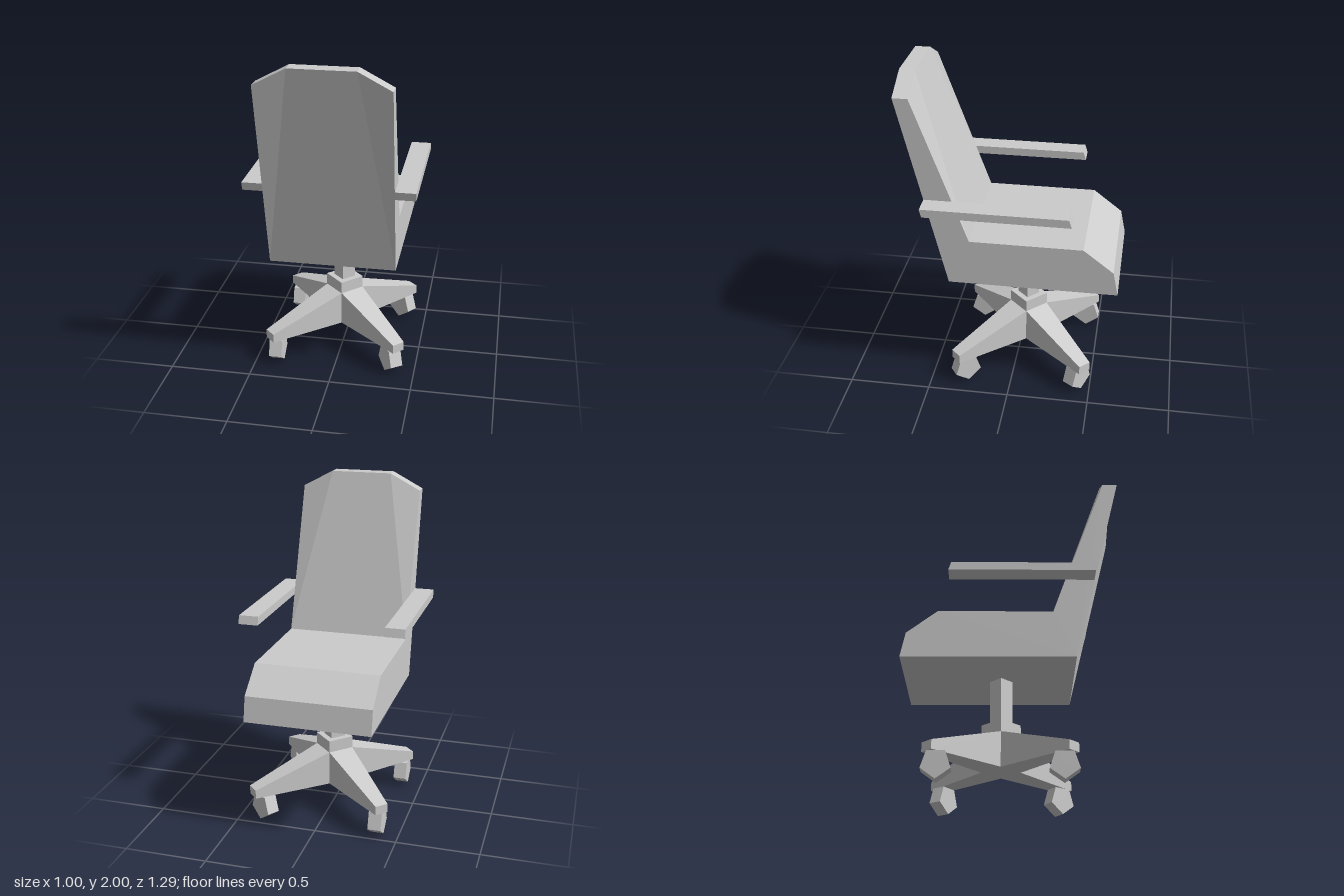
import * as THREE from 'three';
import { ConvexGeometry } from 'three/addons/geometries/ConvexGeometry.js';

const material = new THREE.MeshStandardMaterial({ color: 0xcccccc, flatShading: true });
const BASE_Z = -0.065; // swivel axis

function add(parent, name, geometry, x = 0, y = 0, z = 0) {
  const mesh = new THREE.Mesh(geometry, material);
  mesh.name = name;
  mesh.position.set(x, y, z);
  parent.add(mesh);
  return mesh;
}

// One-piece seat and backrest: side outline as [half width, y, z], mirrored in x
function seatGeometry() {
  const outline = [
    [0.38, 0.73, 0.37], [0.38, 1.9, 0.65], [0.19, 2, 0.65], [0.19, 2, 0.56], [0.38, 1.9, 0.56],
    [0.38, 1.02, 0.24], [0.38, 1.02, -0.435], [0.38, 0.88, -0.615], [0.38, 0.73, -0.645],
  ];
  const n = outline.length;
  const positions = [...outline, ...outline.map(([x, y, z]) => [-x, y, z])].flat();
  const index = [];
  // Faces on the left side, mirrored to the right: flank, then clipped top corner
  const sideFaces = [
    [0, 4, 1], [0, 5, 4], [0, 6, 5], [0, 7, 6], [0, 8, 7],
    [0, 1, 2], [4, 5, 3], [1, 4, 3], [1, 3, 2],
  ];
  for (const [a, b, c] of sideFaces) index.push(a, b, c, a + n, c + n, b + n);
  // Panels that run across from side to side
  const strips = [[0, 2], [2, 3], [3, 5], [5, 6], [6, 7], [7, 8], [8, 0]];
  for (const [a, b] of strips) index.push(a, b, b + n, a, b + n, a + n);

  const geometry = new THREE.BufferGeometry();
  geometry.setAttribute('position', new THREE.Float32BufferAttribute(positions, 3));
  geometry.setIndex(index);
  const flat = geometry.toNonIndexed();
  flat.computeVertexNormals();
  return flat;
}

// Armrest bar with slanted ends
function armrestGeometry() {
  const points = [];
  for (const x of [-0.06, 0.06]) {
    for (const [y, z] of [[1.23, 0.488], [1.28, 0.5], [1.28, -0.357], [1.23, -0.373]]) {
      points.push(new THREE.Vector3(x, y, z));
    }
  }
  return new ConvexGeometry(points);
}

// Tapered foot running out along the +x +z diagonal
function footGeometry() {
  const points = [];
  for (const [near, far, low, high] of [[0.115, 0, 0.16, 0.375], [0.433, 0.375, 0.16, 0.215]]) {
    for (const y of [low, high]) {
      points.push(new THREE.Vector3(near, y, far), new THREE.Vector3(far, y, near));
    }
  }
  return new ConvexGeometry(points);
}

export function createModel() {
  const model = new THREE.Group();
  model.name = 'officeChair';

  add(model, 'seatAndBackrest', seatGeometry());
  for (const side of [1, -1]) {
    add(model, side > 0 ? 'leftArmrest' : 'rightArmrest', armrestGeometry(), side * 0.44);
  }

  // Swivel base
  const base = new THREE.Group();
  base.name = 'base';
  base.position.z = BASE_Z;
  model.add(base);
  add(base, 'column', new THREE.CylinderGeometry(0.067, 0.067, 0.355, 4), 0, 0.5525);
  add(base, 'hub', new THREE.CylinderGeometry(0.117, 0.117, 0.075, 4), 0, 0.4125);
  add(base, 'core', new THREE.CylinderGeometry(0.115, 0.115, 0.215, 4), 0, 0.2675);
  for (let i = 0; i < 4; i++) {
    add(base, 'foot', footGeometry()).rotation.y = i * Math.PI / 2;
  }

  // Five-sided casters, each swivelled: [x, z, axis angle in degrees]
  const radius = 0.0885;
  const casters = [[0.35, 0.352, 125], [0.344, -0.352, 145], [-0.367, 0.352, 90], [-0.367, -0.352, 90]];
  for (const [x, z, angle] of casters) {
    const wheel = new THREE.CylinderGeometry(radius, radius, 0.08, 5).rotateX(Math.PI / 2);
    add(base, 'caster', wheel, x, radius, z).rotation.y = THREE.MathUtils.degToRad(angle);
  }
  return model;
}
